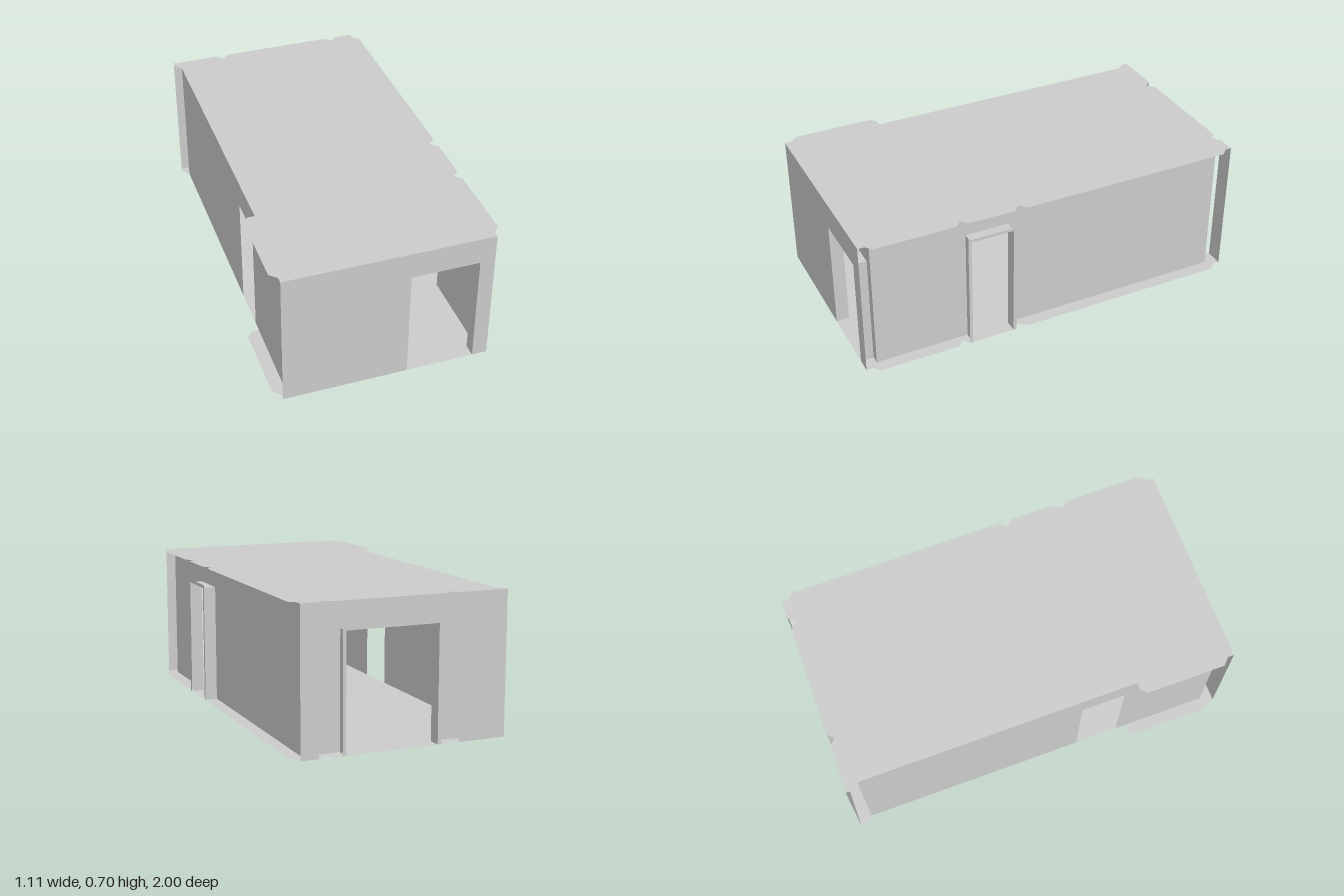
import * as THREE from 'three';

const H = 0.705;                       // room height
const X0 = -0.49, X1 = 0.483;          // inner wall planes
const Z0 = -0.933, Z1 = 0.935;
const material = new THREE.MeshStandardMaterial({ color: 0xcccccc, side: THREE.DoubleSide });

function add(parent, name, geometry) {
  const mesh = new THREE.Mesh(geometry, material);
  mesh.name = name;
  parent.add(mesh);
  return mesh;
}

// Flat panel from a to b; a door [from, to, top] is cut up from the bottom edge
function panel(a, b, top, door) {
  const pts = [[a, 0]];
  if (door) {
    const [f, t, h] = door;
    pts.push([f, 0], [f, h], [t, h], [t, 0]);
  }
  pts.push([b, 0], [b, top], [a, top]);
  return new THREE.ShapeGeometry(new THREE.Shape(pts.map(p => new THREE.Vector2(...p))));
}

// Place a panel facing along z, or turned so its length runs along z
const acrossX = (g, z) => g.translate(0, 0, z);
const acrossZ = (g, x) => g.rotateY(-Math.PI / 2).translate(x, 0, 0);

// Three lining faces of a doorway, running in depth from d0 to d1
function lining(parent, name, [f, t, h], d0, d1, alongZ) {
  const group = new THREE.Group();
  group.name = name;
  const depth = d1 - d0, mid = (d0 + d1) / 2;
  for (const [side, s] of [[f, 1], [t, -1]]) {
    const g = new THREE.PlaneGeometry(depth, h).rotateY(s * Math.PI / 2);
    add(group, 'doorJamb', g.translate(side, h / 2, mid));
  }
  const head = new THREE.PlaneGeometry(t - f, depth).rotateX(Math.PI / 2);
  add(group, 'doorHead', head.translate((f + t) / 2, h, mid));
  if (alongZ) {
    // swap the x and z axes for doorways in the side walls
    group.children.forEach(m => m.geometry.rotateY(-Math.PI / 2).scale(-1, 1, 1));
    group.children.forEach(m => {
      const index = m.geometry.index.array;
      for (let i = 0; i < index.length; i += 3) {
        [index[i], index[i + 1]] = [index[i + 1], index[i]];
      }
      m.geometry.computeVertexNormals();
    });
  }
  parent.add(group);
}

// Outline shared by floor and ceiling, in x and z
function slab(y, up) {
  const outline = [
    [-0.52, 1], [0.515, 1], [0.515, 0.967], [0.548, 0.935],
    [0.548, 0.53], [0.515, 0.497], [0.548, 0.464],
    [0.548, 0.228], [0.515, 0.195], [0.548, 0.162],
    [0.548, -0.935], [0.515, -0.967], [0.515, -1],
    [0.425, -1], [0.392, -0.967], [0.359, -1],
    [-0.212, -1], [-0.245, -0.967], [-0.278, -1],
    [-0.52, -1], [-0.52, -0.967], [X0, -0.935],
    [X0, 0.5], [-0.525, 0.5], [-0.555, 0.53], [-0.555, 0.935], [-0.52, 0.967],
  ];
  const s = up ? -1 : 1;               // keeps the face normal pointing outwards
  const shape = new THREE.Shape(outline.map(([x, z]) => new THREE.Vector2(x, s * z)));
  return new THREE.ShapeGeometry(shape).rotateX(s * Math.PI / 2).translate(0, y, 0);
}

export function createModel() {
  const room = new THREE.Group();
  room.name = 'room';

  const frontDoor = [0.10, 0.44, 0.57];
  const backDoor = [-0.168, 0.295, 0.57];
  const rightDoor = [0.235, 0.456, 0.595];
  const leftDoor = [0.22, 0.445, 0.57];

  add(room, 'floor', slab(0, false));
  add(room, 'ceiling', slab(H, true));

  // Inner walls
  add(room, 'frontInnerWall', acrossX(panel(X0, X1, H, frontDoor), Z1));
  add(room, 'backInnerWall', acrossX(panel(X0, X1, H, backDoor), Z0));
  add(room, 'plusXDoorWall', acrossZ(panel(Z0, Z1, H, rightDoor), X1));
  add(room, 'minusXDoorWall', acrossZ(panel(Z0, Z1, H, leftDoor), X0));

  // Outer front wall and the two flush outer pieces at the back
  add(room, 'frontOuterWall', acrossX(panel(-0.52, 0.515, H, frontDoor), 1));
  add(room, 'backOuterWall', acrossX(panel(-0.52, -0.278, H), -1));
  add(room, 'backOuterWall', acrossX(panel(0.425, 0.515, H), -1));

  // Doorway linings
  lining(room, 'frontDoorLining', frontDoor, Z1, 1);
  lining(room, 'backDoorLining', backDoor, -1, Z0);
  lining(room, 'sideDoorLining', rightDoor, X1, 0.548, true);

  // Thin trims around the back and side doorways
  const trim = ([f, t, h], w) => panel(f - w, t + w, h + w, [f, t, h]);
  add(room, 'backDoorTrim', acrossX(trim(backDoor, 0.016), -1));
  add(room, 'sideDoorTrim', acrossZ(trim(rightDoor, 0.016), 0.55));

  return room;
}
